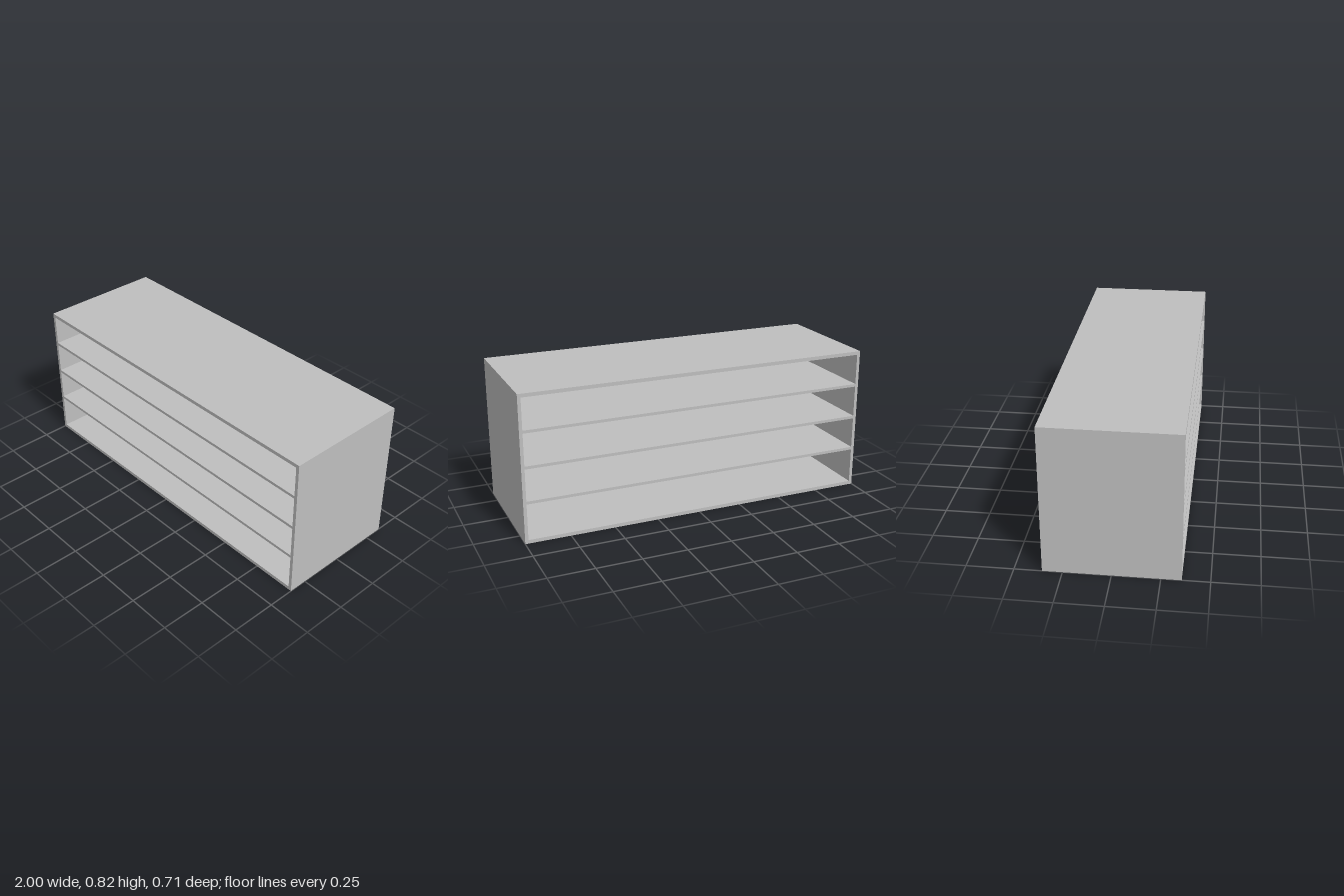
import * as THREE from 'three';

const WIDTH = 2, HEIGHT = 0.82, DEPTH = 0.71;
const SIDE = 0.018, BOARD = 0.02, SHELF = 0.016;

export function createModel() {
  const group = new THREE.Group();
  group.name = 'openShelfUnit';
  const grey = new THREE.MeshStandardMaterial({ color: 0xbfbfbf });
  grey.name = 'light grey';

  // Outer frame: one rectangular tube, open at front and back
  const outline = new THREE.Shape();
  const x = WIDTH / 2, ix = x - SIDE;
  outline.moveTo(-x, 0).lineTo(x, 0).lineTo(x, HEIGHT).lineTo(-x, HEIGHT).closePath();
  const opening = new THREE.Path();
  opening.moveTo(-ix, BOARD).lineTo(-ix, HEIGHT - BOARD)
    .lineTo(ix, HEIGHT - BOARD).lineTo(ix, BOARD).closePath();
  outline.holes.push(opening);
  const frameGeometry = new THREE.ExtrudeGeometry(outline, { depth: DEPTH, bevelEnabled: false });
  frameGeometry.translate(0, 0, -DEPTH / 2);
  const frame = new THREE.Mesh(frameGeometry, grey);
  frame.name = 'frame';
  group.add(frame);

  // Three full-depth shelves between the sides
  const shelfGeometry = new THREE.BoxGeometry(ix * 2, SHELF, DEPTH);
  [0.23, 0.424, 0.618].forEach((y, i) => {
    const shelf = new THREE.Mesh(shelfGeometry, grey);
    shelf.name = `shelf${i + 1}`;
    shelf.position.y = y;
    group.add(shelf);
  });

  return group;
}
